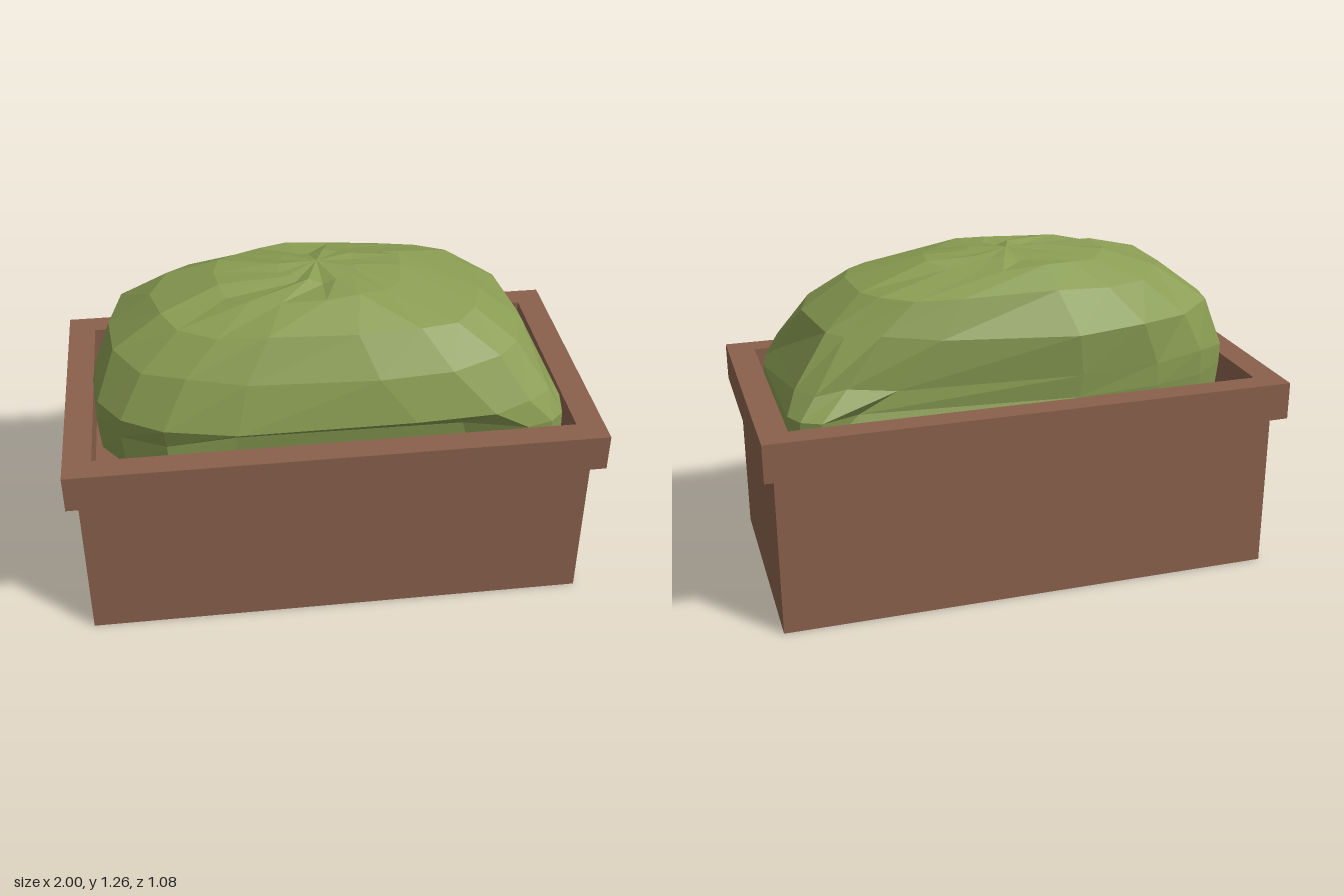
import * as THREE from 'three';

const planterMaterial = new THREE.MeshStandardMaterial({ color: 0x8b614c });
planterMaterial.name = 'terracotta brown';
const bushMaterial = new THREE.MeshStandardMaterial({ color: 0x899c52 });
bushMaterial.name = 'leaf green';

function rectangle(PathType, w, d) {
  const p = new PathType();
  p.moveTo(-w, -d);
  p.lineTo(w, -d);
  p.lineTo(w, d);
  p.lineTo(-w, d);
  p.closePath();
  return p;
}

function seeded(seed) {
  return () => {
    seed = (seed * 16807) % 2147483647;
    return seed / 2147483647 - 0.5;
  };
}

// Faceted hedge: stacked rounded-rectangle rings with a slight jitter
function bushGeometry() {
  const SIDES = 18;
  const random = seeded(77);
  // y, xMin, xMax, zMin, zMax, left squareness, right squareness
  const rings = [
    [0.64, -0.89, 0.89, -0.42, 0.43, 3, 9],
    [0.78, -0.90, 0.885, -0.44, 0.45, 3, 8],
    [0.87, -0.89, 0.84, -0.45, 0.475, 3, 5],
    [1.04, -0.81, 0.735, -0.46, 0.43, 2.7, 3.5],
    [1.17, -0.64, 0.58, -0.35, 0.34, 2.5, 3],
    [1.235, -0.42, 0.3, -0.25, 0.2, 2.2, 2.2],
    [1.25, -0.18, 0.13, -0.16, 0.08, 2, 2],
  ];
  const positions = [];
  const index = [];
  const power = (v, n) => Math.sign(v) * Math.abs(v) ** (2 / n);
  rings.forEach(([y, x0, x1, z0, z1, nl, nr], level) => {
    for (let i = 0; i < SIDES; i++) {
      const a = ((i + 0.25) / SIDES) * Math.PI * 2;
      const c = Math.cos(a);
      const s = Math.sin(a);
      const n = c > 0 ? nr : nl;
      const x = (x0 + x1) / 2 + ((x1 - x0) / 2) * power(c, n);
      let z = (z0 + z1) / 2 + ((z1 - z0) / 2) * power(s, n);
      // Undercut along the front, hollow on the back
      if (level < 2 && s > 0 && Math.abs(x - 0.08) < 0.45) z -= 0.07;
      if (level > 0 && level < 4 && s < 0 && x > 0.15 && x < 0.68) z += 0.07;
      const jitter = level > 1 ? 0.03 : 0;
      positions.push(x + random() * jitter, y + random() * jitter, z + random() * jitter * 0.6);
    }
  });
  for (let r = 0; r < rings.length - 1; r++) {
    for (let i = 0; i < SIDES; i++) {
      const a = r * SIDES + i;
      const b = r * SIDES + ((i + 1) % SIDES);
      index.push(a, a + SIDES, b, b, a + SIDES, b + SIDES);
    }
  }
  // Crown
  const top = positions.length / 3;
  positions.push(-0.02, 1.265, -0.05);
  const last = (rings.length - 1) * SIDES;
  for (let i = 0; i < SIDES; i++) index.push(last + i, top, last + ((i + 1) % SIDES));

  const indexed = new THREE.BufferGeometry();
  indexed.setAttribute('position', new THREE.Float32BufferAttribute(positions, 3));
  indexed.setIndex(index);
  const faceted = indexed.toNonIndexed();
  faceted.computeVertexNormals();
  return faceted;
}

export function createModel() {
  const group = new THREE.Group();
  group.name = 'planter with bush';

  // Planter box
  const body = new THREE.Mesh(new THREE.BoxGeometry(1.92, 0.64, 0.96), planterMaterial);
  body.name = 'planterBody';
  body.position.y = 0.32;
  group.add(body);

  // Raised rim around the soil opening
  const outline = rectangle(THREE.Shape, 1, 0.54);
  outline.holes.push(rectangle(THREE.Path, 0.895, 0.445));
  const rimGeometry = new THREE.ExtrudeGeometry(outline, { depth: 0.145, bevelEnabled: false });
  rimGeometry.rotateX(-Math.PI / 2);
  const rim = new THREE.Mesh(rimGeometry, planterMaterial);
  rim.name = 'planterRim';
  rim.position.y = 0.635;
  group.add(rim);

  const bush = new THREE.Mesh(bushGeometry(), bushMaterial);
  bush.name = 'bush';
  group.add(bush);

  return group;
}
